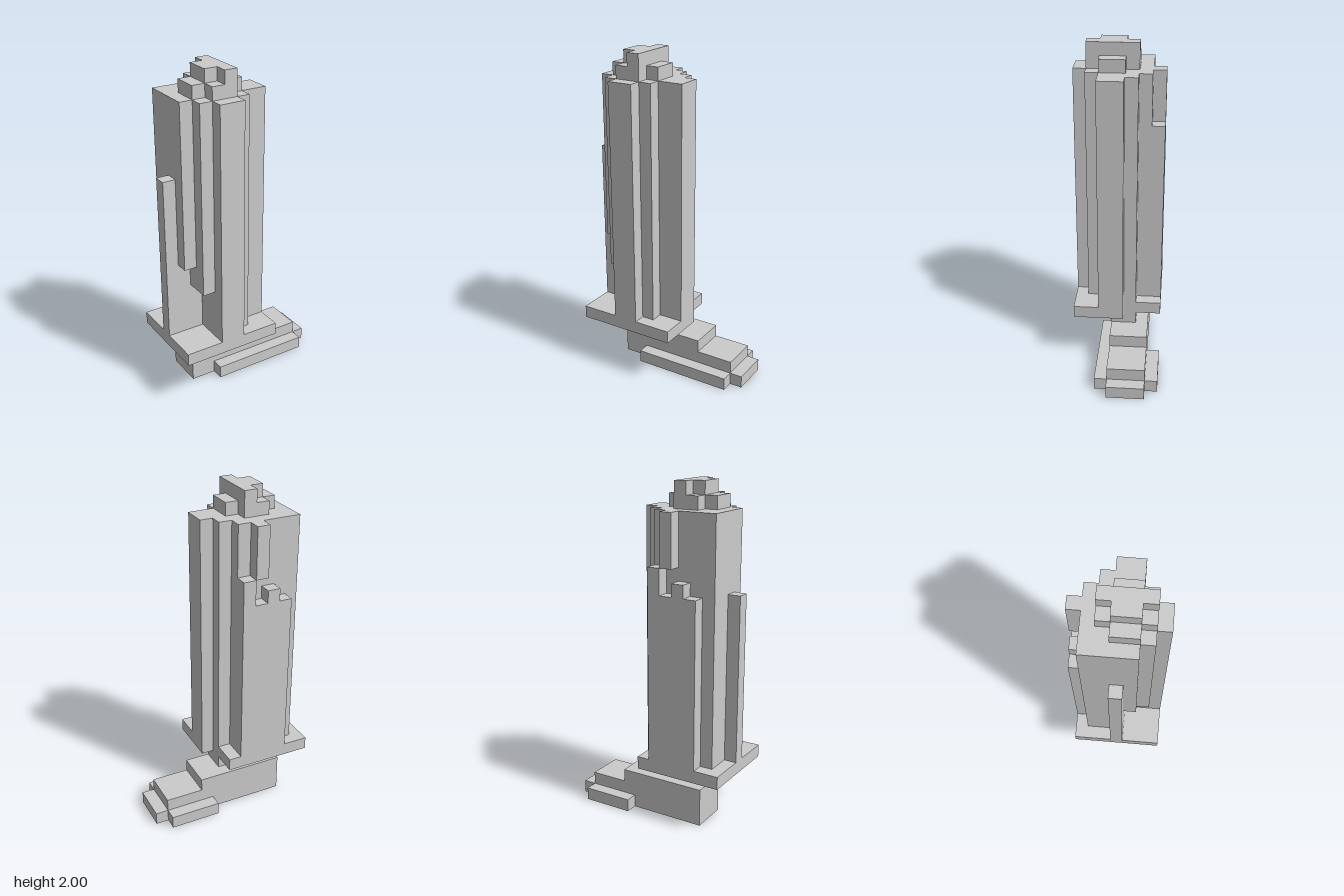
import * as THREE from 'three';

// Everything sits on a block grid: 13 wide, 26 high, 7 deep
const U = 2 / 26;
const material = new THREE.MeshStandardMaterial({ color: 0xcccccc, flatShading: true });

// Upright prism from a plan outline of [x, z] grid corners, between heights y0 and y1
function prism(name, outline, y0, y1) {
  const shape = new THREE.Shape(outline.map(([x, z]) => new THREE.Vector2((x - 6.5) * U, (3.5 - z) * U)));
  const geometry = new THREE.ExtrudeGeometry(shape, { depth: (y1 - y0) * U, bevelEnabled: false });
  geometry.rotateX(-Math.PI / 2).translate(0, y0 * U, 0);
  const mesh = new THREE.Mesh(geometry, material);
  mesh.name = name;
  return mesh;
}

// Block spanning grid ranges in x, y and z
function block(name, [x0, x1], [y0, y1], [z0, z1]) {
  const mesh = new THREE.Mesh(new THREE.BoxGeometry((x1 - x0) * U, (y1 - y0) * U, (z1 - z0) * U), material);
  mesh.position.set(((x0 + x1) / 2 - 6.5) * U, ((y0 + y1) / 2) * U, ((z0 + z1) / 2 - 3.5) * U);
  mesh.name = name;
  return mesh;
}

function part(name, ...meshes) {
  const group = new THREE.Group();
  group.name = name;
  return group.add(...meshes);
}

export function createModel() {
  const model = new THREE.Group();
  model.name = 'blockTower';

  // Stepped foot with side ledges, toe and ankle
  model.add(part('foot',
    block('heel', [2, 9], [0, 3], [1, 4]),
    block('instep', [9, 12], [0, 2], [1, 4]),
    block('toe', [12, 13], [0, 1], [1, 4]),
    block('frontLedge', [4, 12], [0, 1], [4, 5]),
    block('backLedge', [8, 12], [0, 1], [0, 1]),
    block('ankle', [3, 7], [3, 4], [2, 4])));

  // Plate under the shaft, with one notched corner
  model.add(prism('basePlate', [[0, 0], [7, 0], [7, 3], [8, 3], [8, 7], [0, 7]], 4, 5));

  // Shaft with stepped corners, and two overhanging columns at the front
  model.add(part('shaft',
    prism('shaftCore', [[1, 1], [6, 1], [6, 2], [7, 2], [7, 3], [8, 3], [8, 5], [6, 5],
      [6, 6], [5, 6], [5, 7], [3, 7], [3, 4], [1, 4]], 5, 24),
    block('outerOverhang', [1, 2], [11, 24], [4, 5]),
    block('innerOverhang', [2, 3], [9, 24], [4, 6]),
    block('sideColumn', [0, 1], [5, 18], [3, 4])));

  // Back wall with a ragged top, and a block hanging above its gap
  const backWall = part('backWall', block('hangingBlock', [4, 5], [20, 24], [0, 1]));
  [18, 19, 18, 20].forEach((top, n) =>
    backWall.add(block('backWallColumn', [2 + n, 3 + n], [5, top], [0, 1])));
  model.add(backWall);

  // Stepped crown
  model.add(part('crown',
    prism('crownBase', [[2, 3], [3, 3], [3, 2], [5, 2], [5, 3], [6, 3], [6, 5], [5, 5],
      [5, 6], [3, 6], [3, 5], [2, 5]], 24, 25),
    prism('crownTop', [[3, 3], [4, 3], [4, 2], [5, 2], [5, 6], [4, 6], [4, 5], [3, 5]], 25, 26)));

  return model;
}
